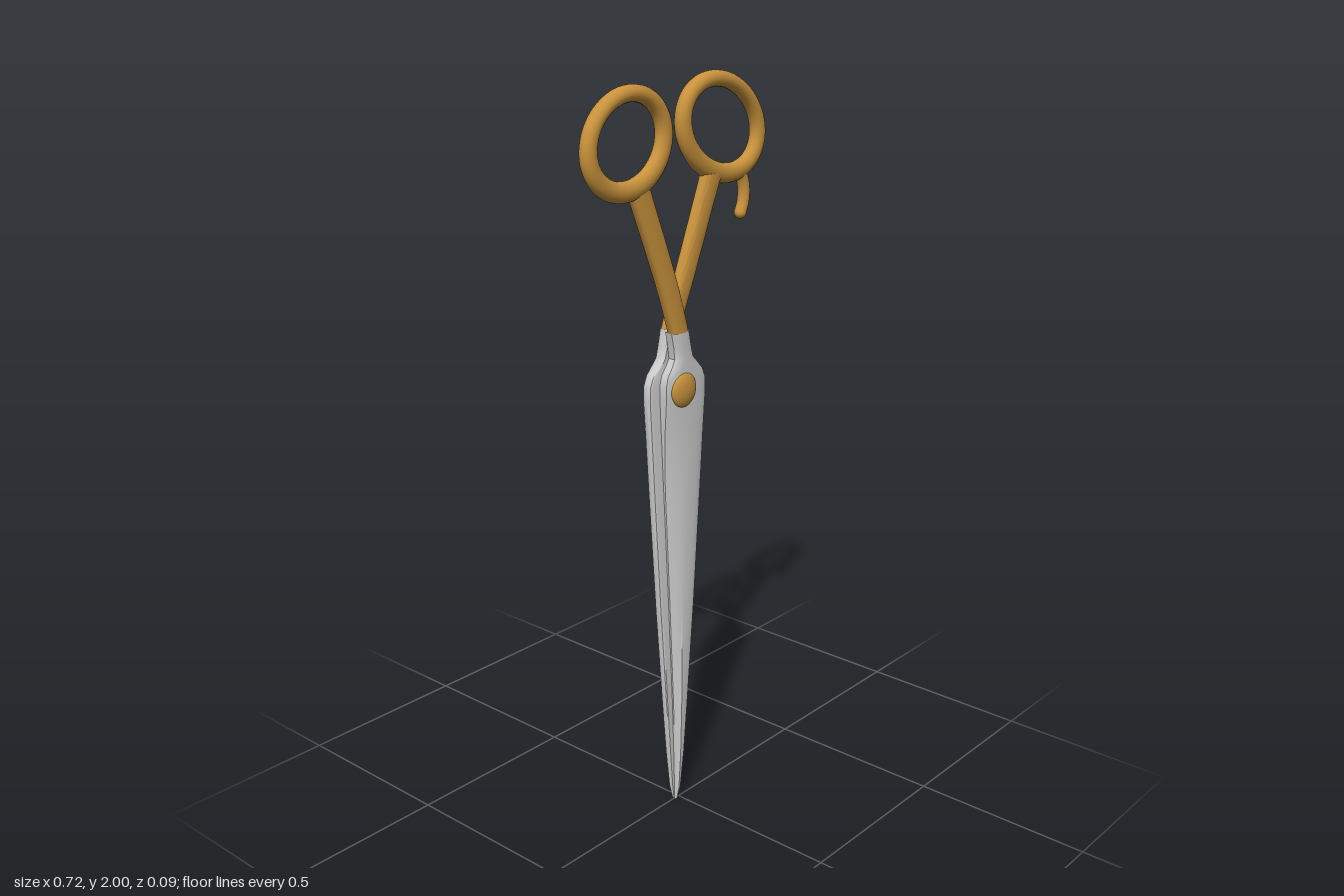
import * as THREE from 'three';
import { mergeVertices, toCreasedNormals } from 'three/addons/utils/BufferGeometryUtils.js';

const steel = new THREE.MeshStandardMaterial({ color: 0xcccccc });
const gold = new THREE.MeshStandardMaterial({ color: 0xc8923c });
const PIVOT_X = -0.015, PIVOT_Y = 1.217;

// Skin horizontal cross-sections, each { y, pts: [[x, z], ...] }, from bottom to top
function loft(sections, crease) {
  const n = sections[0].pts.length, pos = [], idx = [];
  for (const { y, pts } of sections) for (const [x, z] of pts) pos.push(x, y, z);
  const top = (sections.length - 1) * n;
  for (let s = 0; s < sections.length - 1; s++) {
    for (let i = 0; i < n; i++) {
      const a = s * n + i, b = s * n + (i + 1) % n;
      idx.push(a, a + n, b, b, a + n, b + n);
    }
  }
  for (let i = 1; i < n - 1; i++) {
    idx.push(0, i, i + 1, top, top + i + 1, top + i);
  }
  const g = new THREE.BufferGeometry();
  g.setAttribute('position', new THREE.Float32BufferAttribute(pos, 3));
  g.setIndex(idx);
  return toCreasedNormals(g, crease);
}

// Blade and neck: [y, cutting edge x, spine x, thickness, edge thickness ratio]
const bladeStations = [
  [0.0, -0.002, 0.003, 0.006, 0.5],
  [0.04, -0.003, 0.009, 0.013, 0.4],
  [0.15, -0.006, 0.019, 0.018, 0.3],
  [0.3, -0.011, 0.031, 0.021, 0.25],
  [0.6, -0.026, 0.054, 0.025, 0.25],
  [0.95, -0.045, 0.077, 0.029, 0.25],
  [1.1, -0.053, 0.086, 0.031, 0.5],
  [1.2, -0.058, 0.092, 0.033, 0.85],
  [1.235, -0.058, 0.09, 0.033, 0.85],
  [1.26, -0.051, 0.079, 0.033, 0.85],
  [1.282, -0.034, 0.057, 0.033, 0.8],
  [1.3, -0.023, 0.04, 0.033, 0.75],
  [1.33, -0.027, 0.031, 0.034, 0.75],
  [1.372, -0.037, 0.021, 0.035, 0.75],
];

function bladeGeometry() {
  return loft(bladeStations.map(([y, x0, x1, t, e]) => {
    const profile = [[0, 0], [0.92, 0], [0.98, 0.1], [1, 0.3], [1, 0.65], [0.97, 0.86],
      [0.9, 0.97], [0.8, 1], [0.35, 1], [0.12, 0.35 + 0.65 * e], [0, e * 0.8]];
    return { y, pts: profile.map(([u, v]) => [x0 + u * (x1 - x0), 0.001 + v * t]) };
  }), 0.6);
}

// Rounded handle arm following [x, y] centre points
function shankGeometry(path) {
  const curve = new THREE.CatmullRomCurve3(path.map(([x, y]) => new THREE.Vector3(x, y, 0)));
  const soft = (v) => Math.sign(v) * Math.abs(v) ** 0.7;
  const sections = [];
  for (let i = 0; i <= 16; i++) {
    const p = curve.getPoint(i / 16), half = 0.0295 + 0.006 * i / 16, pts = [];
    for (let k = 0; k < 24; k++) {
      const a = k / 24 * Math.PI * 2;
      pts.push([p.x + half * soft(Math.cos(a)), 0.019 + 0.018 * soft(Math.sin(a))]);
    }
    sections.push({ y: p.y, pts });
  }
  return loft(sections, 0.9);
}

// Oval finger ring, a little heavier at the bottom
function ringGeometry(a, b, tilt) {
  const g = new THREE.TorusGeometry(1, 0.3, 20, 72);
  g.deleteAttribute('uv');
  g.deleteAttribute('normal');
  const p = g.attributes.position;
  for (let i = 0; i < p.count; i++) {
    const x = p.getX(i), y = p.getY(i), u = Math.atan2(y, x);
    const d = (Math.hypot(x, y) - 1) / 0.3 * (0.0235 - 0.003 * Math.sin(u));
    p.setXYZ(i, (a + d) * Math.cos(u), (b + d) * Math.sin(u), p.getZ(i) / 0.3 * 0.0205);
  }
  const merged = mergeVertices(g, 1e-5);
  merged.rotateZ(tilt);
  merged.computeVertexNormals();
  return merged;
}

// Domed pivot screw head, facing +z
function screwGeometry() {
  const pts = [[0.045, 0.028], [0.045, 0.034], [0.041, 0.038], [0.031, 0.043], [0.017, 0.0465], [0, 0.0475]];
  const g = new THREE.LatheGeometry(pts.map(([r, h]) => new THREE.Vector2(r, h)), 32);
  return g.rotateX(Math.PI / 2);
}

// Curved little-finger rest hanging from a ring, with a rounded end
function fingerRest() {
  const curve = new THREE.CatmullRomCurve3([[-0.255, 1.75], [-0.285, 1.73], [-0.299, 1.695],
    [-0.298, 1.655], [-0.287, 1.626]].map(([x, y]) => new THREE.Vector3(x, y, 0.022)));
  const rest = new THREE.Group();
  rest.name = 'fingerRest';
  rest.add(part('fingerRestStem', new THREE.TubeGeometry(curve, 24, 0.0165, 14), gold));
  const tip = part('fingerRestTip', new THREE.SphereGeometry(0.0165, 16, 12), gold);
  tip.position.copy(curve.getPoint(1));
  rest.add(tip);
  return rest;
}

function part(name, geometry, material) {
  const m = new THREE.Mesh(geometry, material);
  m.name = name;
  return m;
}

// One half of the scissors, its handle toward -x and its spine toward +x
function half(name, { path, ring, a, b, tilt }) {
  const g = new THREE.Group();
  g.name = name;
  g.position.x = PIVOT_X;
  const loop = part('fingerRing', ringGeometry(a, b, tilt), gold);
  loop.position.set(ring[0], ring[1], 0.0215);
  const screw = part('pivotScrew', screwGeometry(), gold);
  screw.position.y = PIVOT_Y;
  g.add(part('blade', bladeGeometry(), steel), part('shank', shankGeometry(path), gold), loop, screw);
  return g;
}

export function createModel() {
  const model = new THREE.Group();
  model.name = 'scissors';

  const front = half('frontHalf', {
    path: [[-0.008, 1.37], [-0.024, 1.42], [-0.048, 1.49], [-0.096, 1.61], [-0.148, 1.735], [-0.153, 1.75]],
    ring: [-0.193, 1.862], a: 0.131, b: 0.112, tilt: 0.26,
  });

  // The rear half is turned about the vertical and has the larger ring
  const back = half('backHalf', {
    path: [[-0.008, 1.37], [-0.027, 1.42], [-0.057, 1.49], [-0.107, 1.61], [-0.157, 1.73], [-0.163, 1.745]],
    ring: [-0.205, 1.857], a: 0.154, b: 0.113, tilt: 0.43,
  });
  back.rotation.y = Math.PI;
  back.add(fingerRest());

  model.add(front, back);
  return model;
}
